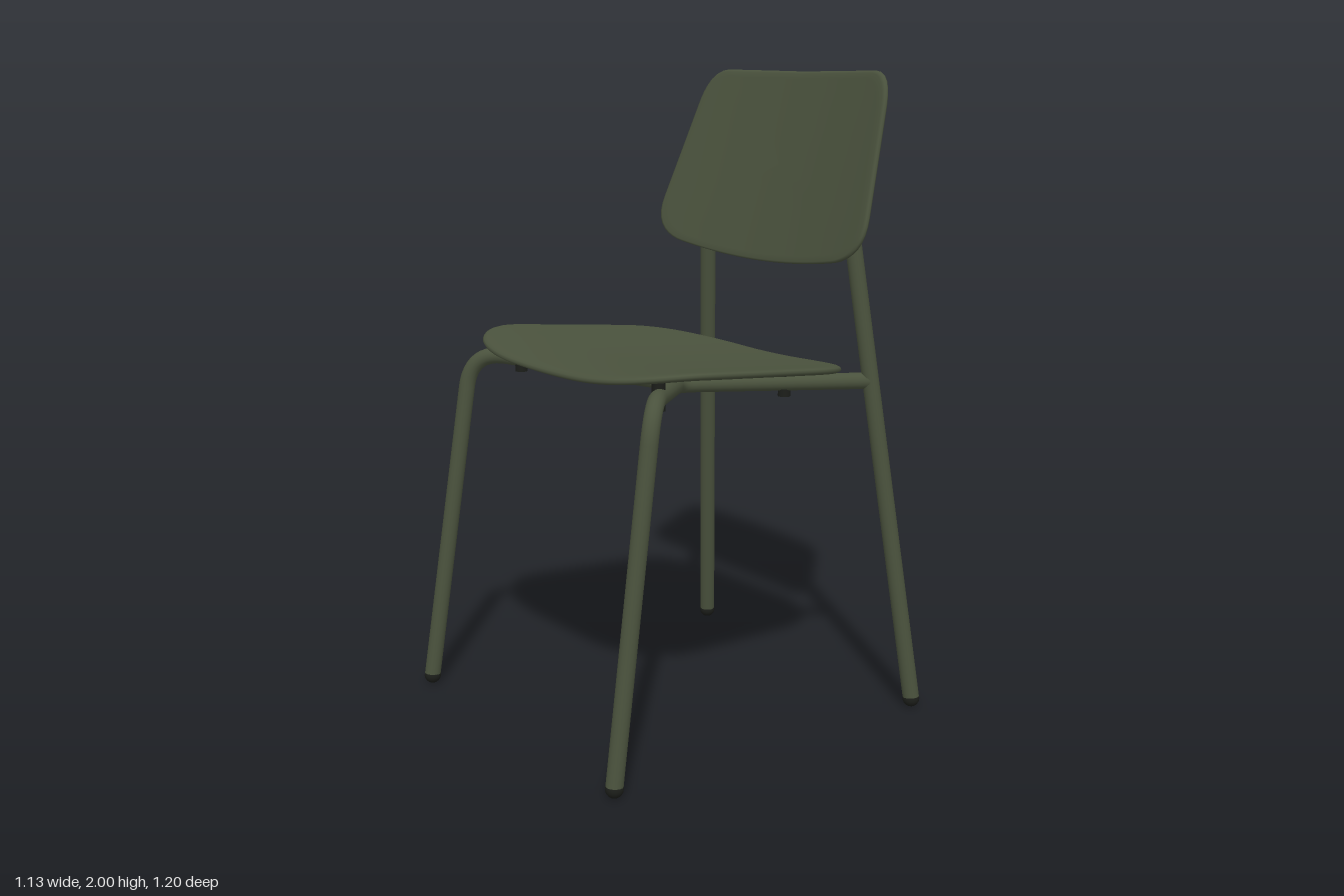
import * as THREE from 'three';

const V = (x, y, z) => new THREE.Vector3(x, y, z);
const R = 0.026; // tube radius

// Polyline with rounded corners; bends[i] is the length trimmed at inner corner i
function bentPath(points, bends) {
  const path = new THREE.CurvePath();
  path.arcLengthDivisions = 400;
  let from = points[0];
  for (let i = 1; i < points.length - 1; i++) {
    const corner = points[i], trim = bends[i - 1];
    const a = corner.clone().add(points[i - 1].clone().sub(corner).setLength(trim));
    const b = corner.clone().add(points[i + 1].clone().sub(corner).setLength(trim));
    path.add(new THREE.LineCurve3(from, a));
    path.add(new THREE.QuadraticBezierCurve3(a, corner, b));
    from = b;
  }
  path.add(new THREE.LineCurve3(from, points[points.length - 1]));
  return path;
}

// Thin curved shell from a half outline (clockwise seen from its face side).
// place(u, v, h) bends the flat sheet into space.
function shell(half, centerV, thickness, place) {
  const right = half.getSpacedPoints(60);
  const left = right.slice(1, -1).reverse().map(p => new THREE.Vector2(-p.x, p.y));
  const outline = [...right, ...left], n = outline.length, h = thickness / 2;
  const scales = [0, 0.2, 0.4, 0.6, 0.8, 0.92, 0.975];
  const rings = [
    ...scales.map(s => [s, h]), [0.993, h * 0.6], [1, 0], [0.993, -h * 0.6],
    ...scales.slice().reverse().map(s => [s, -h]),
  ];
  const pos = [], index = [];
  rings.forEach(([s, off], i) => outline.forEach((p, j) => {
    pos.push(...place(p.x * s, centerV + (p.y - centerV) * s, off));
    if (i === rings.length - 1) return;
    const k = (j + 1) % n, a = i * n + j, b = i * n + k, c = a + n, d = b + n;
    if (i > 0) index.push(a, b, c);
    else index.push(a, d, c);
    if (i > 0 && i < rings.length - 2) index.push(b, d, c);
  }));
  const geo = new THREE.BufferGeometry();
  geo.setAttribute('position', new THREE.Float32BufferAttribute(pos, 3));
  geo.setIndex(index);
  geo.computeVertexNormals();
  return geo;
}

export function createModel() {
  const group = new THREE.Group();
  const green = new THREE.MeshStandardMaterial({ color: 0x4a523d });
  const dark = new THREE.MeshStandardMaterial({ color: 0x1c1e1a });
  const add = (name, geo, mat) => {
    const mesh = new THREE.Mesh(geo, mat);
    mesh.name = name;
    group.add(mesh);
    return mesh;
  };

  // Seat: dished across, sloping to the rear, front edge rolled down
  const seatHeight = (x, z) =>
    1.113 + 0.08 * z + 0.035 * (x / 0.54) ** 2 - 0.02 * (Math.max(0, z - 0.25) / 0.2) ** 2;
  const seatHalf = new THREE.Path();
  seatHalf.moveTo(0, -0.43);
  seatHalf.lineTo(0.15, -0.43);
  seatHalf.quadraticCurveTo(0.3, -0.43, 0.41, -0.36);
  seatHalf.quadraticCurveTo(0.495, -0.3, 0.51, -0.19);
  seatHalf.lineTo(0.542, 0.22);
  seatHalf.quadraticCurveTo(0.55, 0.34, 0.45, 0.405);
  seatHalf.quadraticCurveTo(0.36, 0.463, 0.18, 0.466);
  seatHalf.lineTo(0, 0.466);
  add('seat', shell(seatHalf, 0, 0.022, (x, z, h) => [x, seatHeight(x, z) + h, z]), green);

  // Backrest: leaning back, sides wrapping forward
  const backHalf = new THREE.Path();
  backHalf.moveTo(0, 1.995);
  backHalf.lineTo(0.36, 2.0);
  backHalf.quadraticCurveTo(0.445, 2.0, 0.462, 1.88);
  backHalf.lineTo(0.515, 1.57);
  backHalf.quadraticCurveTo(0.535, 1.46, 0.4, 1.43);
  backHalf.quadraticCurveTo(0.2, 1.398, 0, 1.398);
  add('backrest', shell(backHalf, 1.7, 0.022, (x, y, h) =>
    [x, y, -0.36 - 0.308 * (y - 1.4) + 0.05 * (x / 0.52) ** 2 + h]), green);

  // Rear legs and back hoop in one bent tube
  const rearSide = s => [V(s * 0.54, 0.03, -0.573), V(s * 0.355, 1.59, -0.427), V(s * 0.325, 1.867, -0.538)];
  const hoop = bentPath([...rearSide(1), ...rearSide(-1).reverse()], [0.06, 0.1, 0.1, 0.06]);
  add('rearFrame', new THREE.TubeGeometry(hoop, 200, R, 16), green);

  for (const s of [1, -1]) {
    const side = s > 0 ? 'left' : 'right';

    // Front leg bending under the seat to the middle, then out to the rear leg
    const leg = bentPath([
      V(s * 0.54, 0.03, 0.573), V(s * 0.51, 1.11, 0.415),
      V(s * 0.015, 1.03, -0.03), V(s * 0.418, 1.055, -0.476),
    ], [0.12, 0.08]);
    add(side + 'FrontLeg', new THREE.TubeGeometry(leg, 160, R, 16), green);

    // Rounded foot caps
    for (const z of [0.573, -0.573]) {
      const foot = add(side + (z > 0 ? 'Front' : 'Rear') + 'Foot', new THREE.SphereGeometry(R + 0.001, 16, 12), dark);
      foot.position.set(s * 0.54, 0.027, z);
    }

    // Seat mounts passing through the tubes up to the seat
    for (const [name, x, z, low] of [['Front', 0.38, 0.305, 1.05], ['Rear', 0.237, -0.28, 1.0]]) {
      const top = seatHeight(x, z);
      const mount = add(side + name + 'Mount', new THREE.CylinderGeometry(0.02, 0.02, top - low, 16), dark);
      mount.position.set(s * x, (top + low) / 2, z);
    }
  }
  return group;
}
